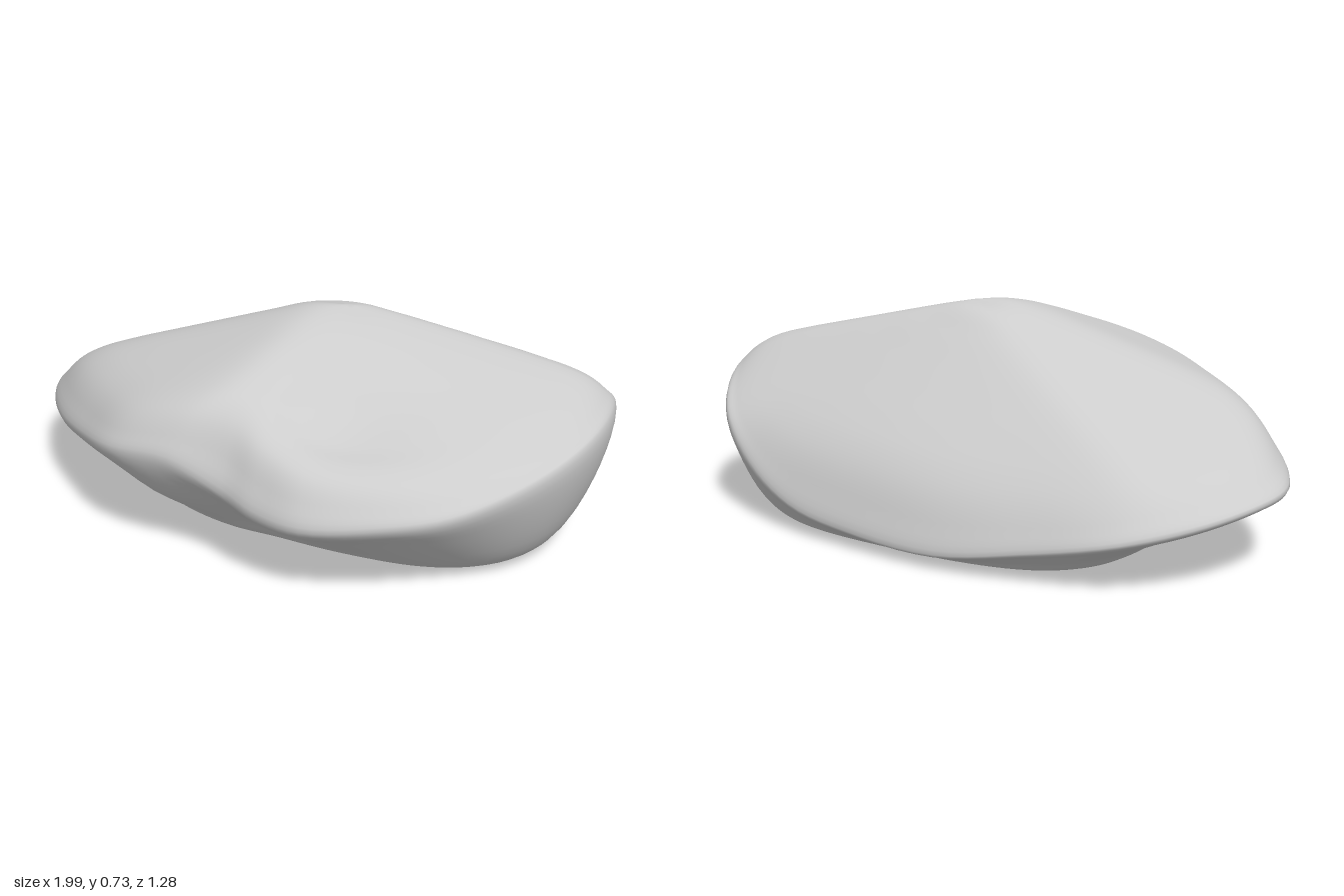
import * as THREE from 'three';

const { lerp } = THREE.MathUtils;

// Rim of the boulder, seen from above: x, height, z
const RIM = [
  [0.99, 0.45, -0.12], [0.955, 0.43, 0.1], [0.85, 0.38, 0.3], [0.69, 0.33, 0.48],
  [0.5, 0.3, 0.58], [0.27, 0.27, 0.635], [0.1, 0.27, 0.605], [-0.02, 0.3, 0.57],
  [-0.2, 0.38, 0.585], [-0.42, 0.36, 0.55], [-0.62, 0.31, 0.41], [-0.82, 0.27, 0.23],
  [-0.95, 0.255, 0.05], [-1, 0.25, -0.1], [-0.97, 0.235, -0.25], [-0.86, 0.2, -0.42],
  [-0.69, 0.16, -0.55], [-0.4, 0.1, -0.61], [-0.1, 0.05, -0.64], [0.25, 0.06, -0.625],
  [0.5, 0.1, -0.6], [0.7, 0.2, -0.555], [0.86, 0.34, -0.48], [0.96, 0.44, -0.32],
].map((p) => new THREE.Vector3(...p));

const COLUMNS = 120, ROWS = 64;

// Worn top: sloping faces blended along soft ridges, with a hollow in the front
function topHeight(x, z) {
  const faces = [
    0.74 + 0.38 * (x - 0.1) + 0.36 * (z + 0.12),    // left end
    0.74 + 0.1 * (x - 0.1) + 1.0 * (z + 0.12),      // back slope
    0.735 - 0.05 * (x - 0.2) + 0.97 * (z + 0.12),   // back of the right shoulder
    0.605 + 0.29 * (x + 0.125) - 0.24 * (z - 0.41), // front lobe
    0.585 - 0.25 * (x - 0.77) - 0.1 * (z + 0.12),   // right shoulder
    0.505 - 0.3 * (x - 0.66) - 0.35 * (z - 0.2),    // front right slope
  ];
  const soft = 0.02;
  const y = -soft * Math.log(faces.reduce((sum, f) => sum + Math.exp(-f / soft), 0));
  // Hollow runs obliquely between the two front lobes
  const along = 0.88 * (x - 0.25) - 0.48 * (z - 0.4);
  const across = 0.48 * (x - 0.25) + 0.88 * (z - 0.4);
  return y - 0.075 * Math.exp(-((along / 0.28) ** 2) - (across / 0.18) ** 2);
}

const PEAK = new THREE.Vector3(0.13, topHeight(0.13, -0.06), -0.06);
const FLOOR = new THREE.Vector3(0.12, 0, -0.14);

// Profile from the peak over the rim and under to the middle of the flat base
function profile({ x, y: rimY, z }) {
  const drop = topHeight(x, z) - rimY;
  const top = (f) => {
    const px = lerp(PEAK.x, x, f), pz = lerp(PEAK.z, z, f);
    return new THREE.Vector3(px, topHeight(px, pz) - drop * f ** 14, pz);
  };
  // Base outline: a squarish oval
  const dx = x - FLOOR.x, dz = z - FLOOR.z;
  const k = (Math.abs(dx / 0.63) ** 3 + Math.abs(dz / 0.39) ** 3) ** (-1 / 3);
  const under = (a, b) => new THREE.Vector3(
    lerp(x, FLOOR.x + dx * k, a), rimY * (1 - b), lerp(z, FLOOR.z + dz * k, a));
  // The +x end bulges; the front lobe on -x has a steep lip
  const bulge = Math.max(0, x) ** 2;
  const lip = z > 0 ? Math.exp(-(((x + 0.3) / 0.2) ** 2)) : 0;
  return new THREE.CatmullRomCurve3([
    PEAK, ...[0.12, 0.25, 0.4, 0.55, 0.7, 0.82, 0.9, 0.96, 1].map(top),
    under(0.3 - 0.2 * bulge - 0.1 * lip, 0.3 + 0.1 * bulge + 0.08 * lip),
    under(0.72 - 0.17 * bulge, 0.7 + 0.2 * bulge + 0.1 * lip),
    under(1, 1), FLOOR,
  ]);
}

function boulderGeometry() {
  const rim = new THREE.CatmullRomCurve3(RIM, true);
  const columns = Array.from({ length: COLUMNS }, (_, j) => profile(rim.getPoint(j / COLUMNS)));

  const positions = [...PEAK.toArray()];
  for (let i = 1; i < ROWS; i++) {
    for (const column of columns) {
      const p = column.getPoint(i / ROWS);
      positions.push(p.x, Math.max(0, p.y), p.z);
    }
  }
  positions.push(...FLOOR.toArray());

  // Join the rings, closing to one point at the peak and at the base
  const last = positions.length / 3 - 1;
  const at = (i, j) => i === 0 ? 0 : i === ROWS ? last : 1 + (i - 1) * COLUMNS + (j % COLUMNS);
  const index = [];
  for (let i = 0; i < ROWS; i++) {
    for (let j = 0; j < COLUMNS; j++) {
      const a = at(i, j), b = at(i, j + 1), c = at(i + 1, j + 1), d = at(i + 1, j);
      if (i > 0) index.push(a, b, d);
      if (i < ROWS - 1) index.push(b, c, d);
    }
  }
  const geometry = new THREE.BufferGeometry();
  geometry.setAttribute('position', new THREE.Float32BufferAttribute(positions, 3));
  geometry.setIndex(index);
  geometry.computeVertexNormals();
  return geometry;
}

export function createModel() {
  const group = new THREE.Group();
  group.name = 'rock';
  const stone = new THREE.MeshStandardMaterial({ color: 0xcccccc });
  stone.name = 'grey stone';
  const boulder = new THREE.Mesh(boulderGeometry(), stone);
  boulder.name = 'boulder';
  group.add(boulder);
  return group;
}
